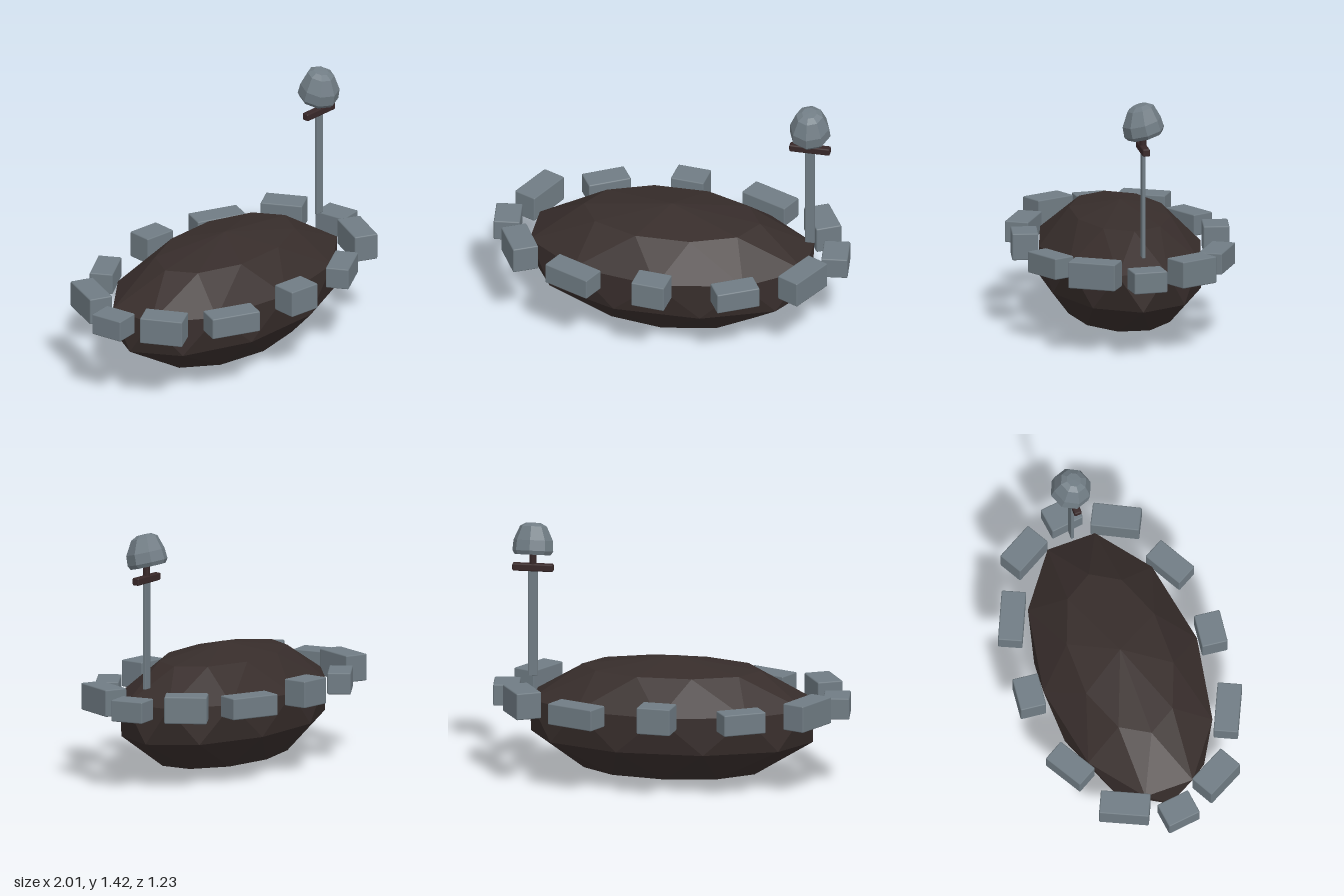
import * as THREE from 'three';
import { RoundedBoxGeometry } from 'three/addons/geometries/RoundedBoxGeometry.js';

const stoneMat = new THREE.MeshStandardMaterial({ name: 'greyStone', color: 0x707c84 });
const steelMat = new THREE.MeshStandardMaterial({ name: 'greySteel', color: 0x717d85 });
const earthMat = new THREE.MeshStandardMaterial({ name: 'darkEarth', color: 0x372d2b });
const leatherMat = new THREE.MeshStandardMaterial({ name: 'darkLeather', color: 0x382829 });

function add(parent, name, geometry, material, x = 0, y = 0, z = 0) {
  const mesh = new THREE.Mesh(geometry, material);
  mesh.name = name;
  mesh.position.set(x, y, z);
  parent.add(mesh);
  return mesh;
}

// Faceted mound: ten-sided elliptical rings, each twisted half a step, closed at both poles
function moundGeometry() {
  const sides = 10;
  // y, x radius, z radius, twist in steps
  const rings = [
    [0.005, 0, 0, -0.5],
    [0.07, 0.5, 0.285, -0.5],
    [0.245, 0.785, 0.435, 0],
    [0.455, 0.81, 0.45, 0.5],
    [0.637, 0.495, 0.27, 1],
    [0.705, 0, 0, 1],
  ];
  const point = ([y, rx, rz, twist], i) => {
    const a = ((i + twist) / sides) * Math.PI * 2;
    return [Math.cos(a) * rx, y, Math.sin(a) * rz];
  };
  const pos = [];
  for (let r = 0; r < rings.length - 1; r++) {
    const low = rings[r], up = rings[r + 1];
    for (let i = 0; i < sides; i++) {
      if (low[1] > 0) pos.push(...point(low, i), ...point(up, i), ...point(low, i + 1));
      if (up[1] > 0) pos.push(...point(low, i + 1), ...point(up, i), ...point(up, i + 1));
    }
  }
  const g = new THREE.BufferGeometry();
  g.setAttribute('position', new THREE.Float32BufferAttribute(pos, 3));
  g.computeVertexNormals();
  return g;
}

export function createModel() {
  const model = new THREE.Group();
  model.name = 'stoneRingedMound';
  add(model, 'mound', moundGeometry(), earthMat);

  // Ring of border stones: x, z, length, depth, yaw in degrees; heights alternate
  const stones = new THREE.Group();
  stones.name = 'borderStones';
  model.add(stones);
  [
    [-0.92, 0, 0.19, 0.145, 97],
    [-0.8, 0.265, 0.24, 0.145, -62],
    [-0.46, 0.46, 0.285, 0.135, -25],
    [-0.005, 0.53, 0.19, 0.145, -6.5],
    [0.45, 0.46, 0.245, 0.13, 29],
    [0.79, 0.27, 0.27, 0.135, 63],
    [0.92, 0, 0.19, 0.145, 97],
    [0.79, -0.27, 0.235, 0.145, -61],
    [0.455, -0.465, 0.29, 0.135, -24.5],
    [-0.005, -0.535, 0.19, 0.145, -6],
    [-0.465, -0.465, 0.245, 0.13, 30],
    [-0.8, -0.27, 0.275, 0.135, 65],
  ].forEach(([x, z, length, depth, yaw], i) => {
    const h = i % 2 ? 0.15 : 0.12;
    const stone = add(stones, 'borderStone', new RoundedBoxGeometry(length, h, depth, 1, 0.007),
      stoneMat, x, 0.4 + h / 2, z);
    stone.rotation.y = THREE.MathUtils.degToRad(yaw);
  });

  // Upright sword
  const sword = new THREE.Group();
  sword.name = 'sword';
  sword.position.x = 0.775;
  model.add(sword);
  add(sword, 'blade', new RoundedBoxGeometry(0.052, 0.61, 0.018, 1, 0.003), steelMat, 0, 0.86, 0);
  add(sword, 'crossguard', new RoundedBoxGeometry(0.228, 0.042, 0.042, 1, 0.008), leatherMat, 0, 1.17, 0);
  add(sword, 'grip', new THREE.CylinderGeometry(0.019, 0.019, 0.09, 8), leatherMat, 0, 1.22, 0);

  // Helmet tipped forward over the grip
  const profile = [[0, 0], [0.1, 0], [0.114, 0.022], [0.11, 0.08], [0.075, 0.157], [0.042, 0.175], [0, 0.177]]
    .map(([r, y]) => new THREE.Vector2(r, y));
  const dome = new THREE.LatheGeometry(profile, 8).toNonIndexed();
  const p = dome.attributes.position;
  for (let i = 0; i < p.count; i++) p.setZ(i, p.getZ(i) - Math.max(0, p.getY(i) - 0.08) * 0.16);
  dome.computeVertexNormals();
  const helmet = add(model, 'helmet', dome, steelMat, 0.775, 1.243, -0.012);
  helmet.rotation.x = 0.25;

  return model;
}
